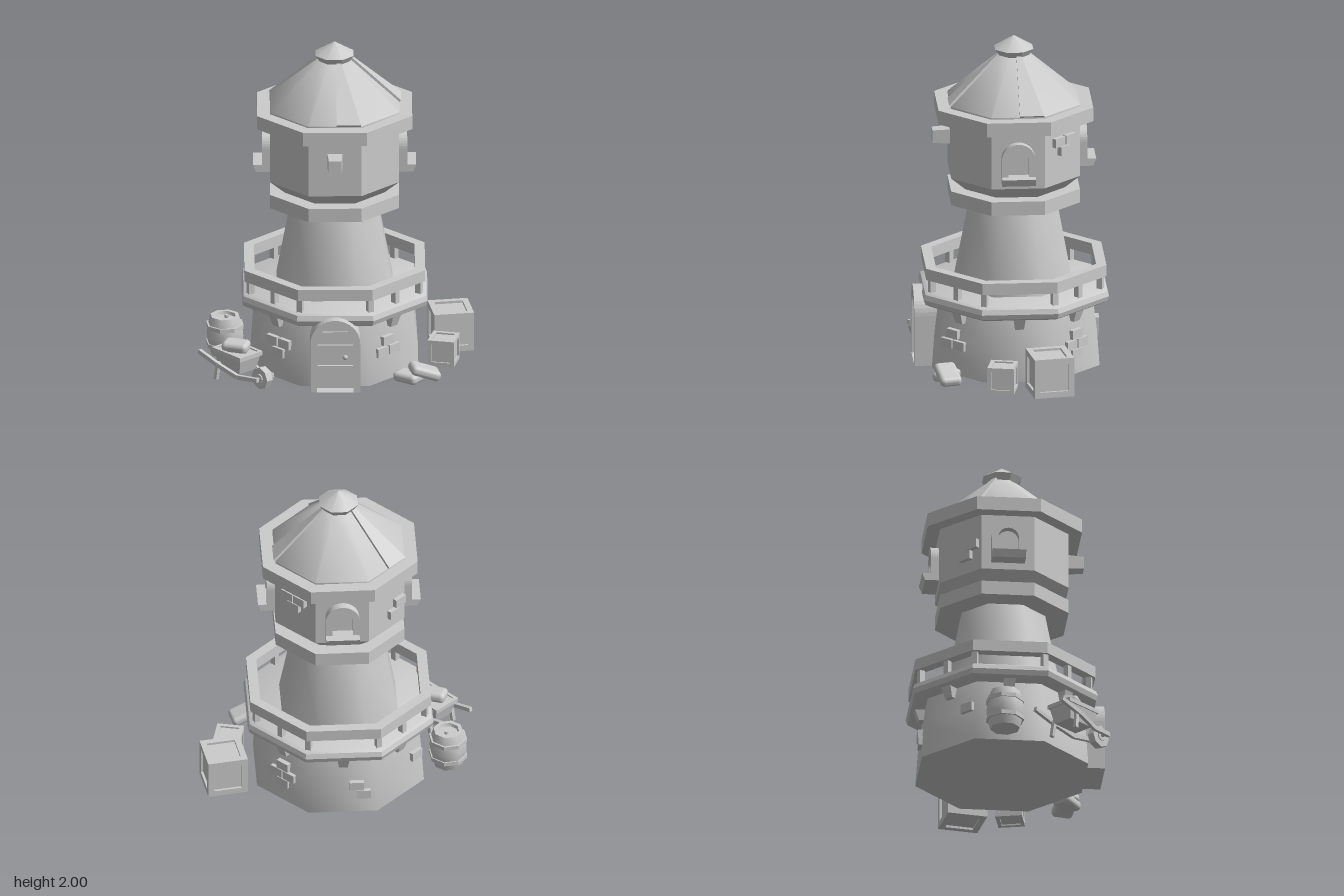
import * as THREE from 'three';
import { toCreasedNormals } from 'three/addons/utils/BufferGeometryUtils.js';
import { RoundedBoxGeometry } from 'three/addons/geometries/RoundedBoxGeometry.js';

const material = new THREE.MeshStandardMaterial({ color: 0xcccccc });
const V = (x, y, z) => new THREE.Vector3(x, y, z);

function add(parent, name, geometry, x = 0, y = 0, z = 0) {
  const mesh = new THREE.Mesh(geometry, material);
  mesh.name = name;
  mesh.position.set(x, y, z);
  parent.add(mesh);
  return mesh;
}

function group(parent, name, x = 0, y = 0, z = 0, turn = 0) {
  const g = new THREE.Group();
  g.name = name;
  g.position.set(x, y, z);
  g.rotation.y = turn;
  parent.add(g);
  return g;
}

const box = (parent, name, w, h, d, x, y, z) => add(parent, name, new THREE.BoxGeometry(w, h, d), x, y, z);

// Eight-sided solid from [distance to flat side, height], listed bottom to top
const SHARP = 0.3, SMOOTH = 0.85;
function octagon(parent, name, profile, crease = SHARP) {
  const points = profile.map(([r, y]) => new THREE.Vector2(r / Math.cos(Math.PI / 8), y));
  return add(parent, name, toCreasedNormals(new THREE.LatheGeometry(points, 8, Math.PI / 8), crease));
}

// Straight beam between two points
function beam(parent, name, a, b, w, h = w) {
  const mesh = add(parent, name, new THREE.BoxGeometry(w, h, a.distanceTo(b)));
  mesh.position.copy(a).add(b).multiplyScalar(0.5);
  mesh.quaternion.setFromUnitVectors(V(0, 0, 1), b.clone().sub(a).normalize());
  return mesh;
}

// Box whose lower or outer end is scaled by a taper factor
function tapered(w, h, d, test, sx, sy, sz) {
  const geometry = new THREE.BoxGeometry(w, h, d);
  const p = geometry.attributes.position;
  for (let i = 0; i < p.count; i++) {
    const v = V(0, 0, 0).fromBufferAttribute(p, i);
    if (test(v)) p.setXYZ(i, v.x * sx, v.y * sy, v.z * sz);
  }
  return toCreasedNormals(geometry, SHARP);
}

// Round-topped outline, used for the door and the windows
function arch(target, half, bottom, top) {
  target.moveTo(-half, bottom);
  target.lineTo(half, bottom);
  target.lineTo(half, top - half);
  target.absarc(0, top - half, half, 0, Math.PI, false);
  target.lineTo(-half, bottom);
  return target;
}

function archFrame(half, inner, bottom, innerBottom, top, innerTop, depth) {
  const shape = arch(new THREE.Shape(), half, bottom, top);
  shape.holes.push(arch(new THREE.Path(), inner, innerBottom, innerTop));
  return new THREE.ExtrudeGeometry(shape, { depth, bevelEnabled: false, curveSegments: 10 });
}

function bricks(face, z, list) {
  for (const [x, y] of list) box(face, 'wallBrick', 0.085, 0.055, 0.07, x, y, z);
}

function buildTower(root) {
  const tower = group(root, 'tower', -0.01, 0, -0.028);
  const faces = [...Array(8).keys()].map(k => group(tower, 'side' + k, 0, 0, 0, k * Math.PI / 4));

  // Main masses
  octagon(tower, 'base', [[0, 0], [0.495, 0], [0.48, 0.22], [0.455, 0.42], [0, 0.42]], SMOOTH);
  octagon(tower, 'balconyFloor', [[0, 0.39], [0.515, 0.39], [0.54, 0.405], [0.55, 0.435], [0.54, 0.465], [0.515, 0.48], [0, 0.48]], 0.6);
  octagon(tower, 'neck', [[0.345, 0.47], [0.245, 1.02]], SMOOTH);
  octagon(tower, 'collar', [[0, 1.0], [0.382, 1.0], [0.382, 1.085], [0, 1.085]]);
  octagon(tower, 'upperRoom', [[0, 1.08], [0.29, 1.08], [0.382, 1.165], [0.382, 1.53], [0, 1.53]]);
  octagon(tower, 'roofRim', [[0, 1.515], [0.459, 1.515], [0.459, 1.6], [0, 1.6]]);
  octagon(tower, 'roof', [[0.383, 1.6], [0.383, 1.61], [0.085, 1.89], [0, 1.89]], SMOOTH);
  octagon(tower, 'roofCap', [[0, 1.885], [0.088, 1.885], [0.113, 1.925], [0, 2.0]], 0.6);

  // Balcony railing and its posts
  octagon(tower, 'rail', [[0.535, 0.558], [0.535, 0.628], [0.475, 0.628], [0.475, 0.558], [0.535, 0.558]]);
  for (let k = 0; k < 8; k++) {
    const corner = group(tower, 'cornerPost', 0, 0, 0, (k + 0.5) * Math.PI / 4);
    box(corner, 'post', 0.035, 0.1, 0.035, 0, 0.52, 0.54);
    if (k % 2) box(faces[k], 'middlePost', 0.035, 0.1, 0.035, 0, 0.52, 0.505);
    add(faces[k], 'bracket', tapered(0.07, 0.07, 0.1, v => v.y < 0, 0.75, 1, 0.5), 0, 0.36, 0.47);
  }

  // Raised wedge boards on the roof
  const plank = new THREE.Shape([[0.01, 0], [0.155, 0], [0.04, 0.405], [0.01, 0.405]].map(([x, y]) => new THREE.Vector2(x, y)));
  for (const k of [0, 2, 5]) {
    const geometry = new THREE.ExtrudeGeometry(plank, { depth: 0.016, bevelEnabled: false });
    add(faces[k], 'roofBoard', geometry, 0, 1.608, 0.383).rotation.x = -Math.atan2(0.298, 0.28);
  }

  // Arched windows with sills, and the stub beam on the front
  for (const k of [2, 4, 6]) {
    add(faces[k], 'windowFrame', archFrame(0.1, 0.062, 1.22, 1.24, 1.455, 1.415, 0.06), 0, 0, 0.37);
    add(faces[k], 'windowSill', tapered(0.2, 0.045, 0.12, v => v.y < 0 && v.z > 0, 1, 1, 0.7), 0, 1.23, 0.423);
  }
  add(faces[0], 'stubBeam', tapered(0.09, 0.09, 0.12, v => v.z > 0, 0.85, 0.85, 1), 0, 1.39, 0.425);

  // Loose bricks standing out of the walls
  bricks(faces[3], 0.375, [[-0.047, 1.43], [0.047, 1.43], [0, 1.37]]);
  bricks(faces[5], 0.375, [[0.1, 1.33], [0.05, 1.27]]);
  bricks(faces[1], 0.468, [[-0.05, 0.25], [-0.095, 0.185], [0, 0.185]]);
  bricks(faces[7], 0.468, [[-0.03, 0.23], [0.07, 0.23], [0.02, 0.165]]);
  bricks(faces[3], 0.468, [[0, 0.245], [-0.047, 0.185], [0.047, 0.185], [0, 0.125]]);
  bricks(faces[4], 0.475, [[0.08, 0.19], [0.12, 0.13]]);
  bricks(faces[5], 0.468, [[0.14, 0.22]]);

  // Door
  const door = group(faces[0], 'door');
  add(door, 'doorFrame', archFrame(0.148, 0.108, 0, 0.002, 0.457, 0.418, 0.2), 0, 0, 0.4);
  const panel = new THREE.ExtrudeGeometry(arch(new THREE.Shape(), 0.11, 0, 0.42), { depth: 0.13, bevelEnabled: false });
  add(door, 'doorPanel', panel, 0, 0, 0.4);
  for (const y of [0.14, 0.27, 0.355]) box(door, 'doorBand', y > 0.3 ? 0.19 : 0.21, 0.016, 0.02, 0, y, 0.535);
  add(door, 'doorKnob', new THREE.SphereGeometry(0.016, 8, 6), 0.06, 0.205, 0.552);
}

// Crate: twelve edge beams around a sunken core
function buildCrate(root, size, x, z, turn) {
  const crate = group(root, 'crate', x, size / 2, z, turn);
  const w = size * 0.15, e = (size - w) / 2, core = size * 0.88;
  box(crate, 'cratePanels', core, core, core, 0, 0, 0);
  for (const a of [-e, e]) for (const b of [-e, e]) {
    box(crate, 'crateBeam', size, w, w, 0, a, b);
    box(crate, 'crateBeam', w, size, w, a, 0, b);
    box(crate, 'crateBeam', w, w, size, a, b, 0);
  }
}

function sack(parent, w, h, d, x, y, z, turn, tilt = 0) {
  const mesh = add(parent, 'sack', new RoundedBoxGeometry(w, h, d, 3, h * 0.42), x, y, z);
  mesh.rotation.set(0, turn, tilt);
}

function buildBarrel(root) {
  const barrel = group(root, 'barrel', -0.658, 0, -0.07, 0.12);
  octagon(barrel, 'staves', [[0, 0], [0.082, 0], [0.098, 0.06], [0.104, 0.12], [0.098, 0.18], [0.082, 0.24],
    [0.06, 0.24], [0.055, 0.22], [0, 0.22]], SMOOTH);
  for (const y of [0.05, 0.165])
    octagon(barrel, 'hoop', [[0.09, y], [0.106, y], [0.106, y + 0.025], [0.09, y + 0.025]]);
  add(barrel, 'bung', new THREE.CylinderGeometry(0.013, 0.013, 0.02, 8), 0.012, 0.228, -0.01);
}

function buildWheelbarrow(root) {
  const cart = group(root, 'wheelbarrow', -0.585, 0, 0.345, 0.73);
  const tray = tapered(0.17, 0.11, 0.24, v => v.y < 0, 0.75, 1, 0.75);
  add(cart, 'tray', tray, 0, 0.125, -0.005);
  for (const s of [-1, 1]) {
    // Tray rim, handle shaft and leg on each side
    box(cart, 'trayRim', 0.02, 0.025, 0.25, s * 0.08, 0.175, -0.005);
    box(cart, 'trayEnd', 0.17, 0.025, 0.02, 0, 0.175, s * 0.115 - 0.005);
    const path = [V(s * 0.107, 0.14, -0.22), V(s * 0.105, 0.1, -0.06), V(s * 0.085, 0.06, 0.09), V(s * 0.06, 0.075, 0.24)];
    for (let i = 0; i < 3; i++) beam(cart, 'shaft', path[i], path[i + 1], 0.022, 0.026);
    beam(cart, 'leg', V(s * 0.09, 0.11, -0.07), V(s * 0.095, 0, -0.085), 0.022);
  }
  const wheel = group(cart, 'wheel', 0, 0.07, 0.215);
  const spin = geometry => geometry.rotateZ(Math.PI / 2);
  add(wheel, 'tyre', toCreasedNormals(spin(new THREE.CylinderGeometry(0.068, 0.068, 0.045, 8)), SHARP));
  add(wheel, 'hub', toCreasedNormals(spin(new THREE.CylinderGeometry(0.03, 0.03, 0.06, 8)), SHARP));
  add(wheel, 'axle', spin(new THREE.CylinderGeometry(0.01, 0.01, 0.14, 6)));
  sack(cart, 0.11, 0.065, 0.16, 0.0, 0.205, -0.015, 0.5, 0.1);
}

export function createModel() {
  const root = new THREE.Group();
  root.name = 'watchtower';
  buildTower(root);
  buildCrate(root, 0.24, 0.68, -0.195, 0.16);
  buildCrate(root, 0.16, 0.635, 0.083, -0.22);
  sack(root, 0.16, 0.06, 0.12, 0.425, 0.034, 0.4, -0.6);
  sack(root, 0.185, 0.06, 0.13, 0.52, 0.068, 0.4, 0.22, -0.35);
  buildBarrel(root);
  buildWheelbarrow(root);
  return root;
}
